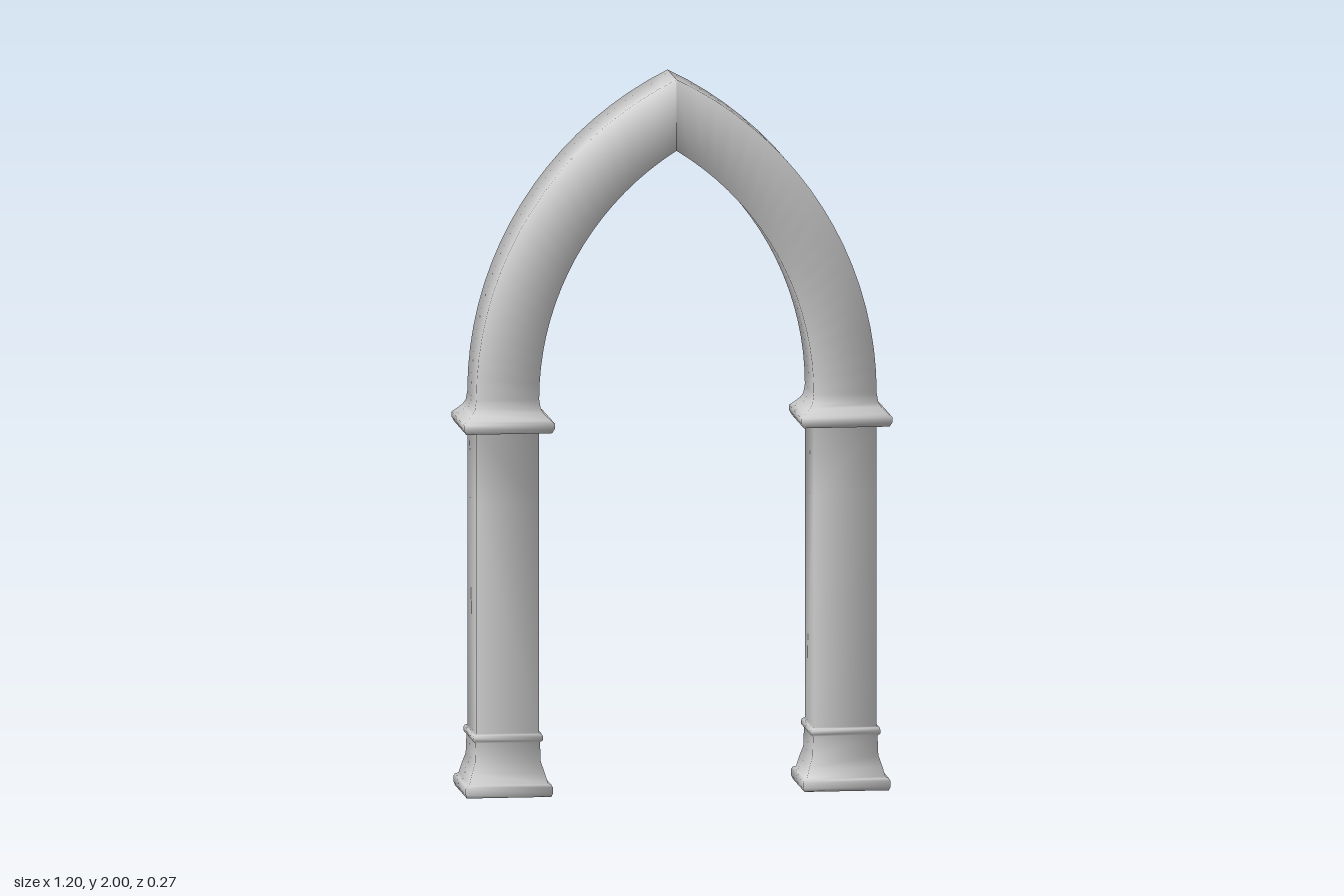
import * as THREE from 'three';

const PIER_X = 0.472, HALF = 0.088, DEPTH = 0.095;
const SPRING = 1.11, CENTRE = 0.443, R_OUT = 1.003, R_IN = 0.827;
const ARCH_STEPS = 18;

// [half width, height] outlines for each square part of a pier
const profiles = {
  base: [[0.118, 0], [0.122, 0.01], [0.122, 0.027], [0.118, 0.034], [0.11, 0.037],
    [0.102, 0.065], [0.092, 0.095], [0.09, 0.15], [0.097, 0.156], [0.098, 0.165],
    [0.095, 0.173], [HALF, 0.176]],
  shaft: [[HALF, 0.82], [HALF, 1.02]],
  capital: [[0.12, 1.02], [0.127, 1.033], [0.127, 1.047], [0.118, 1.055],
    [0.1, 1.072], [0.092, 1.085], [HALF, SPRING]],
};

// Corners of a ring, counter-clockwise seen from above
const ring = (outX, outY, inX, inY, d) =>
  [[outX, outY, d], [outX, outY, -d], [inX, inY, -d], [inX, inY, d]];

// One half: a square section lofted from the floor up to the mitred apex
function buildHalf(side) {
  const rings = [], ends = {};
  for (const [name, outline] of Object.entries(profiles)) {
    for (const [h, y] of outline) {
      rings.push(ring(PIER_X + h, y, PIER_X - h, y, h + DEPTH - HALF));
    }
    ends[name] = rings.length - 1;
  }

  // Concentric arcs that both finish on the middle plane
  const endOut = Math.acos(CENTRE / R_OUT), endIn = Math.acos(CENTRE / R_IN);
  for (let i = 1; i <= ARCH_STEPS; i++) {
    const a = endOut * i / ARCH_STEPS, b = endIn * i / ARCH_STEPS;
    rings.push(ring(
      R_OUT * Math.cos(a) - CENTRE, SPRING + (2 - SPRING) * Math.sin(a) / Math.sin(endOut),
      R_IN * Math.cos(b) - CENTRE, SPRING - 0.008 * i / ARCH_STEPS + R_IN * Math.sin(b), DEPTH));
  }
  ends.archHalf = rings.length - 1;

  const positions = rings.flat().flatMap(([x, y, z]) => [x * side, y, z]);
  const parts = {}, all = [];
  let from = 0;
  for (const [name, to] of Object.entries(ends)) {
    const faces = [];
    const tri = (a, b, c) => (side > 0 ? faces.push(a, b, c) : faces.push(a, c, b));
    // Underside of the base
    if (from === 0) {
      tri(0, 3, 2);
      tri(0, 2, 1);
    }
    for (let r = from; r < to; r++) {
      for (let k = 0; k < 4; k++) {
        const a = r * 4 + k, b = r * 4 + (k + 1) % 4;
        tri(a, b, b + 4);
        tri(a, b + 4, a + 4);
      }
    }
    parts[name] = faces;
    all.push(...faces);
    from = to;
  }

  // Normals run smoothly over the whole half before it is split into parts
  const whole = new THREE.BufferGeometry();
  whole.setAttribute('position', new THREE.Float32BufferAttribute(positions, 3));
  whole.setIndex(all);
  whole.computeVertexNormals();

  const half = new THREE.Group();
  half.name = side > 0 ? 'leftHalf' : 'rightHalf';
  const material = new THREE.MeshStandardMaterial({ color: 0xcccccc });
  for (const [name, faces] of Object.entries(parts)) {
    const mesh = new THREE.Mesh(whole.clone().setIndex(faces).toNonIndexed(), material);
    mesh.name = name;
    half.add(mesh);
  }
  return half;
}

export function createModel() {
  const model = new THREE.Group();
  model.name = 'pointedArch';
  for (const side of [1, -1]) model.add(buildHalf(side));
  return model;
}
